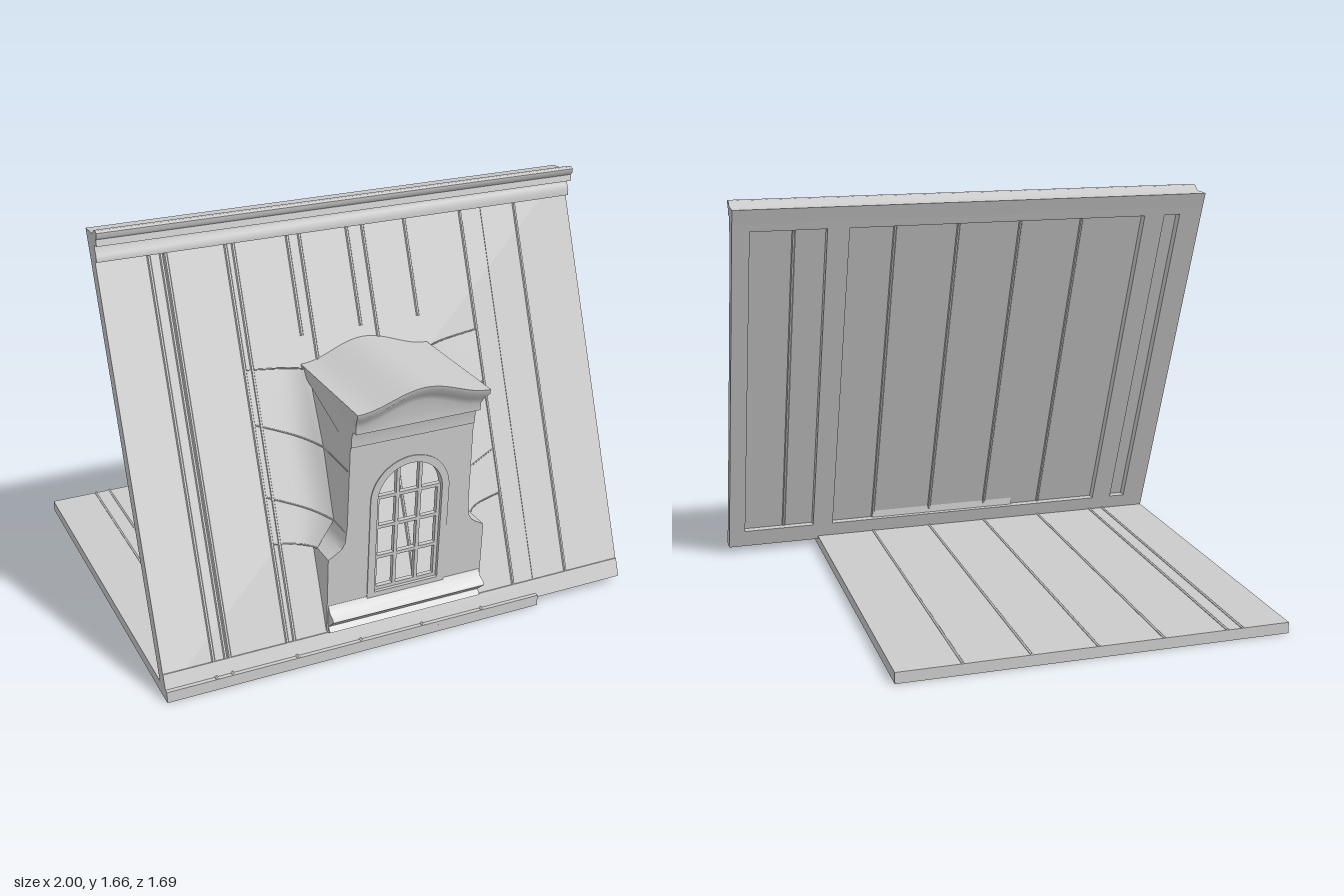
import * as THREE from 'three';
import { toCreasedNormals } from 'three/addons/utils/BufferGeometryUtils.js';

const material = new THREE.MeshStandardMaterial({ color: 0xcccccc, side: THREE.DoubleSide });
const roofZ = (y) => 0.742 - 0.386 * (y - 0.03); // outer face of the sloping roof
const wallZ = (y) => 0.71 + 0.05 * y; // leaning front wall of the dormer

export function createModel() {
  const model = new THREE.Group();

  const add = (name, geometry) => {
    const mesh = new THREE.Mesh(geometry, material);
    mesh.name = name;
    model.add(mesh);
  };

  // Prism along x from a [z, y] profile
  const prism = (name, profile, x0, x1) => {
    const shape = new THREE.Shape(profile.map(([z, y]) => new THREE.Vector2(z, y)));
    const g = new THREE.ExtrudeGeometry(shape, { depth: x1 - x0, bevelEnabled: false });
    g.rotateY(-Math.PI / 2).translate(x1, 0, 0);
    add(name, toCreasedNormals(g, 0.9));
  };

  // Piece lying in the roof slope, between depths d0 and d1 under the outer face
  const slopePiece = (name, x0, x1, y0, y1, d0, d1) => prism(name, [
    [roofZ(y0) - d1, y0], [roofZ(y0) - d0, y0], [roofZ(y1) - d0, y1], [roofZ(y1) - d1, y1],
  ], x0, x1);

  const box = (name, x0, x1, y0, y1, z0, z1) => {
    const g = new THREE.BoxGeometry(x1 - x0, y1 - y0, z1 - z0);
    g.translate((x0 + x1) / 2, (y0 + y1) / 2, (z0 + z1) / 2);
    add(name, g);
  };

  // Six-sided bead between two points
  const bead = (name, a, b, radius) => {
    const path = new THREE.LineCurve3(new THREE.Vector3(...a), new THREE.Vector3(...b));
    add(name, toCreasedNormals(new THREE.TubeGeometry(path, 1, radius, 6), 0.3));
  };

  // Surface through rows of [x, y, z] points
  const loft = (name, rows, crease = 0.6) => {
    const n = rows[0].length;
    const index = [];
    for (let i = 0; i < rows.length - 1; i++) {
      for (let j = 0; j < n - 1; j++) {
        const a = i * n + j;
        index.push(a, a + n, a + 1, a + 1, a + n, a + n + 1);
      }
    }
    const g = new THREE.BufferGeometry();
    g.setAttribute('position', new THREE.Float32BufferAttribute(rows.flat(2), 3));
    g.setIndex(index);
    add(name, toCreasedNormals(g, crease));
  };

  // Thin roof sheet with a deep frame on its back
  slopePiece('roofSheet', -1, 1, 0.03, 1.63, 0, 0.022);
  for (const [x0, x1] of [[-1, -0.9], [-0.83, -0.74], [0.53, 0.62], [0.93, 1]]) {
    slopePiece('roofBackStile', x0, x1, 0.03, 1.63, 0.022, 0.06);
  }
  slopePiece('roofBackBottomRail', -1, 1, 0.03, 0.11, 0.022, 0.06);
  slopePiece('roofBackTopRail', -1, 1, 1.55, 1.63, 0.022, 0.06);

  // Standing seams, showing on both faces of the sheet, and eave band
  const roofSeam = (name, x, y0, d) => bead(name, [x, y0, roofZ(y0) - d], [x, 1.54, roofZ(1.54) - d], 0.007);
  for (const x of [-0.8, -0.752, -0.735, -0.5, -0.47, -0.2, 0.067, 0.5, 0.75]) {
    roofSeam('roofSeam', x, 0.1, 0);
  }
  for (const x of [-0.25, 0, 0.25]) roofSeam('shortRoofSeam', x, 1.17, 0);
  for (const x of [-0.47, -0.2, 0.067, 0.335, 0.75]) roofSeam('roofBackSeam', x, 0.11, 0.022);
  slopePiece('panelJoint', 0.593, 0.597, 0.1, 1.54, -0.003, 0.005);
  slopePiece('eaveBand', -1, 1, 0.03, 0.1, -0.004, 0.005);

  // Ridge moulding
  prism('ridgeMoulding', [
    [0.062, 1.632], [0.1, 1.54], [0.18, 1.535], [0.18, 1.56], [0.168, 1.58], [0.165, 1.597], [0.195, 1.6],
    [0.19, 1.625], [0.2, 1.635], [0.202, 1.652], [0.19, 1.658], [0.17, 1.656], [0.145, 1.636],
  ], -1, 1);

  // Flat panel with seams on both faces and a frame underneath
  const [fx0, fx1, fz0, fz1] = [-1, 0.595, -0.845, 0.757];
  box('floorSheet', fx0, fx1, 0.03, 0.046, fz0, fz1);
  for (const [x0, x1] of [[fx0, fx0 + 0.05], [-0.8, -0.735], [fx1 - 0.05, fx1]]) {
    box('floorStile', x0, x1, 0, 0.03, fz0, fz1);
  }
  for (const [z0, z1] of [[fz0, fz0 + 0.05], [0.59, 0.63], [fz1 - 0.07, fz1]]) {
    box('floorRail', fx0, fx1, 0, 0.03, z0, z1);
  }
  for (const x of [-0.8, -0.735, -0.47, -0.2, 0.067, 0.335]) {
    for (const y of [0.03, 0.045]) bead('floorSeam', [x, y, fz0], [x, y, fz1], 0.007);
  }

  // Arched outline for the window, half width r and bottom y0
  const arch = (Type, r, y0) => {
    const p = new Type();
    p.moveTo(-r, y0).lineTo(r, y0).lineTo(r, 0.645);
    p.absarc(0, 0.645, r, 0, Math.PI, false);
    p.lineTo(-r, y0);
    return p;
  };
  // Extrude a front outline and lean it with the wall
  const leaning = (name, shape, depth, offset) => {
    const g = new THREE.ExtrudeGeometry(shape, { depth, bevelEnabled: false, curveSegments: 16 });
    const p = g.attributes.position;
    for (let i = 0; i < p.count; i++) p.setZ(i, p.getZ(i) + wallZ(p.getY(i)) + offset);
    g.computeVertexNormals();
    add(name, g);
  };

  // Dormer front wall with its arched opening
  const side = [[0.335, 0.1], [0.335, 0.43], [0.305, 0.447], [0.28, 0.465], [0.266, 0.49], [0.26, 0.56], [0.256, 1.04]];
  const outline = [...side, ...side.map(([x, y]) => [-x, y]).reverse()];
  const wall = new THREE.Shape(outline.map(([x, y]) => new THREE.Vector2(x, y)));
  wall.holes.push(arch(THREE.Path, 0.145, 0.225));
  leaning('dormerFrontWall', wall, 0.04, -0.04);

  // Window surround and glazing bars
  const surround = arch(THREE.Shape, 0.167, 0.185);
  surround.holes.push(arch(THREE.Path, 0.137, 0.235));
  leaning('windowSurround', surround, 0.035, -0.031);
  const bar = (x0, x1, y0, y1) => leaning('glazingBar', new THREE.Shape([
    new THREE.Vector2(x0, y0), new THREE.Vector2(x1, y0), new THREE.Vector2(x1, y1), new THREE.Vector2(x0, y1),
  ]), 0.02, -0.03);
  for (const x of [-0.047, 0.047]) bar(x - 0.007, x + 0.007, 0.23, 0.775);
  for (const y of [0.385, 0.52, 0.65]) bar(-0.14, 0.14, y - 0.007, y + 0.007);
  bar(-0.14, 0.14, 0.23, 0.25);
  for (const s of [-1, 1]) bar(s * 0.131 - 0.007, s * 0.131 + 0.007, 0.23, 0.65);

  // Window sill
  prism('dormerSill', [
    [0.68, 0.1], [0.72, 0.1], [0.738, 0.108], [0.722, 0.128], [0.77, 0.172], [0.763, 0.183], [0.735, 0.195], [0.716, 0.23], [0.68, 0.23],
  ], -0.33, 0.33);

  // Cheeks, and the swept flashing that joins them to the roof
  const stations = [
    // outer y, inner y, inner x, rise off the roof
    [0.46, 0.43, 0.335, 0.04], [0.63, 0.53, 0.262, 0.07], [0.89, 0.795, 0.259, 0.07], [1.085, 1.06, 0.257, 0.03],
  ];
  for (const s of [-1, 1]) {
    loft('dormerCheek', [
      side.map(([x, y]) => [s * x, y, wallZ(y)]),
      side.map(([x, y]) => [s * x, y, Math.min(roofZ(y) - 0.01, wallZ(y) - 0.01)]),
    ]);
    const rows = stations.map(([yo, yi, xi, rise]) => {
      const row = [];
      for (let j = 0; j <= 12; j++) {
        const t = j / 12;
        const y = yo + (yi - yo) * t;
        row.push([s * (0.5 + (xi - 0.5) * t), y, roofZ(y) + 0.003 + rise * t ** 5]);
      }
      return row;
    });
    loft('sweptFlashing', rows, 1);
    for (const row of rows) {
      const path = new THREE.CatmullRomCurve3(row.map((p) => new THREE.Vector3(...p)));
      add('flashingSeam', new THREE.TubeGeometry(path, 20, 0.003, 5));
    }
    // Seams carried forward along the cheek
    for (const [, y, x, rise] of stations.slice(1, 3)) {
      bead('cheekSeam', [s * x, y, roofZ(y) + rise], [s * x, y, wallZ(y) - 0.01], 0.003);
    }
  }

  // Arched dormer roof and cornice as one section carried across, with closed ends
  const columns = 24;
  const section = (x) => {
    const top = 1.07 + 0.03 * (1 + Math.cos(Math.PI * x / 0.272));
    const w = 0.257 / 0.272; // the cornice is slightly narrower than the roof
    return [
      [x * w, 0.9, 0.7], [x * w, 0.9, 0.762], [x * w, 0.94, 0.765], [x * w, 0.97, 0.775], [x * w, 0.97, 0.8],
      [x * w, top - 0.07, 0.802], [x * 0.97, top - 0.045, 0.815], [x, top - 0.02, 0.84],
      [x, top, 0.845], [x, top, roofZ(top) - 0.01], [x, top - 0.02, roofZ(top) - 0.01], [x * w, 0.9, 0.7],
    ];
  };
  const rows = [];
  for (let i = 0; i <= columns; i++) rows.push(section(0.272 * (2 * i / columns - 1)));
  const cap = (x) => rows[0].map(() => [x, 1.03, 0.74]);
  loft('dormerRoofAndCornice', [cap(-0.262), ...rows, cap(0.262)]);

  return model;
}
